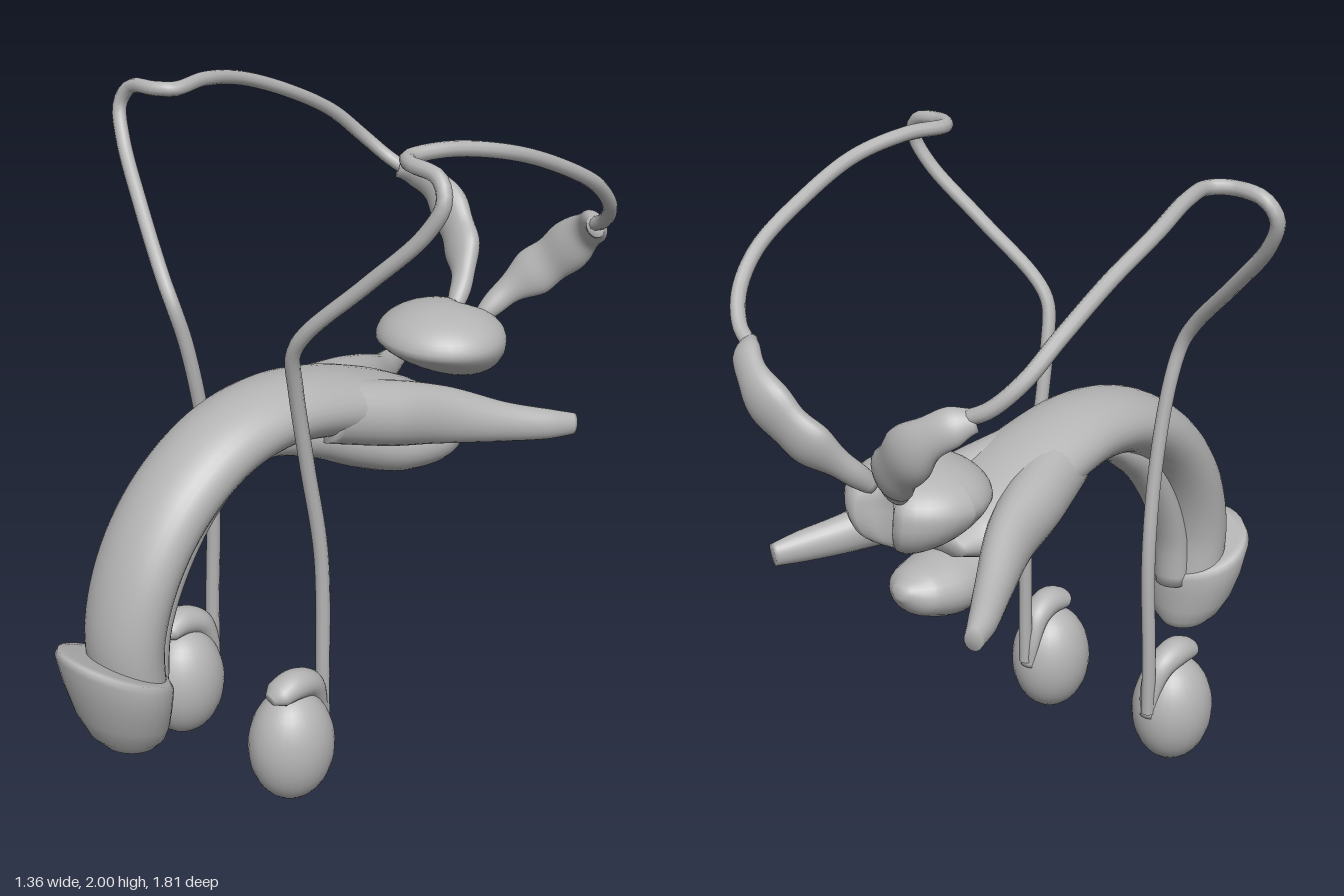
import * as THREE from 'three';

const V = (x, y, z) => new THREE.Vector3(x, y, z);

// Closed smooth skin over rings given as { c, u, v } (centre and two half axes, u x v points along the body)
function skin(rings, n) {
  const pos = [], idx = [], last = rings.length - 1;
  for (const { c, u, v } of rings) {
    for (let j = 0; j < n; j++) {
      const a = (j / n) * Math.PI * 2;
      const p = c.clone().addScaledVector(u, Math.cos(a)).addScaledVector(v, Math.sin(a));
      pos.push(p.x, p.y, p.z);
    }
  }
  const start = pos.length / 3;
  for (const i of [0, last]) pos.push(...rings[i].c.toArray());
  for (let j = 0; j < n; j++) {
    const k = (j + 1) % n;
    for (let i = 0; i < last; i++) {
      const a = i * n + j, b = i * n + k;
      idx.push(a, b, a + n, b, b + n, a + n);
    }
    idx.push(start, k, j, start + 1, last * n + j, last * n + k);
  }
  const g = new THREE.BufferGeometry();
  g.setAttribute('position', new THREE.Float32BufferAttribute(pos, 3));
  g.setIndex(idx);
  g.computeVertexNormals();
  return g;
}

// Body swept along stations [x, y, z, half width, half height]; side is the width direction
function sweep(stations, side, { steps = 40, n = 24, lump = 0 } = {}) {
  const path = new THREE.CatmullRomCurve3(stations.map(s => V(s[0], s[1], s[2])));
  const size = new THREE.CatmullRomCurve3(stations.map(s => V(s[3], s[4], 0)));
  const rings = [];
  for (let i = 0; i <= steps; i++) {
    const t = i / steps;
    const dir = path.getTangent(t);
    const u = side.clone().addScaledVector(dir, -side.dot(dir)).normalize();
    const v = dir.clone().cross(u);
    const s = size.getPoint(t), k = 1 + lump * Math.sin(t * 24);
    rings.push({ c: path.getPoint(t), u: u.multiplyScalar(s.x * k), v: v.multiplyScalar(s.y * k) });
  }
  return skin(rings, n);
}

export function createModel() {
  const model = new THREE.Group();
  const grey = new THREE.MeshStandardMaterial({ color: 0xb4b4b4 });
  grey.name = 'plain grey';
  const add = (name, geometry) => {
    const mesh = new THREE.Mesh(geometry, grey);
    mesh.name = name;
    model.add(mesh);
    return mesh;
  };
  const X = V(1, 0, 0);

  // Curved central shaft
  add('shaft', sweep([
    [0, 0.40, 0.70, 0.125, 0.09], [0, 0.60, 0.715, 0.135, 0.1], [0, 0.80, 0.655, 0.145, 0.1],
    [0, 0.97, 0.53, 0.148, 0.1], [0, 1.09, 0.35, 0.15, 0.1], [0, 1.13, 0.15, 0.153, 0.1],
    [0, 1.105, -0.05, 0.165, 0.1], [0, 1.05, -0.24, 0.18, 0.095], [0, 1.0, -0.40, 0.16, 0.075],
    [0, 0.98, -0.48, 0.08, 0.03],
  ], X, { steps: 56, n: 32 }));

  // Lower tube ending in a rounded bulb
  add('lowerTubeAndBulb', sweep([
    [0, 0.42, 0.63, 0.06, 0.05], [0, 0.6, 0.61, 0.06, 0.05], [0, 0.81, 0.51, 0.06, 0.05],
    [0, 0.955, 0.38, 0.06, 0.05], [0, 1.04, 0.2, 0.06, 0.05], [0, 1.0, 0, 0.065, 0.06],
    [0, 0.92, -0.2, 0.085, 0.075], [0, 0.875, -0.36, 0.115, 0.09], [0, 0.867, -0.48, 0.125, 0.092],
    [0, 0.88, -0.59, 0.095, 0.068], [0, 0.9, -0.65, 0.025, 0.02],
  ], X, { steps: 56 }));

  // Flared tip: rows are front z, front y, back z, back y, half width
  add('flaredTip', skin([
    [0.88, 0.585, 0.63, 0.46, 0.145], [0.905, 0.592, 0.61, 0.455, 0.172], [0.912, 0.57, 0.602, 0.435, 0.186],
    [0.893, 0.48, 0.605, 0.38, 0.173], [0.865, 0.38, 0.607, 0.315, 0.147], [0.83, 0.305, 0.613, 0.27, 0.115],
    [0.79, 0.26, 0.628, 0.243, 0.08], [0.745, 0.23, 0.655, 0.228, 0.04],
  ].map(([fz, fy, bz, by, w]) => ({
    c: V(0, (fy + by) / 2, (fz + bz) / 2),
    u: V(w, 0, 0),
    v: V(0, (fy - by) / 2, (fz - bz) / 2),
  })), 32));

  // Rounded gland, tapered below and notched at the back
  const gland = new THREE.SphereGeometry(1, 36, 24);
  const p = gland.attributes.position;
  for (let i = 0; i < p.count; i++) {
    const x = p.getX(i), y = p.getY(i), z = p.getZ(i);
    const taper = y < 0 ? 1 + 0.12 * y : 1;
    const notch = z < 0 ? 0.1 * z * z * Math.exp(-x * x * 18) : 0;
    p.setXYZ(i, x * 0.21 * taper, 1.17 + y * (y > 0 ? 0.11 : 0.13 - 0.03 * z),
      -0.56 + z * 0.197 * taper + 0.05 * Math.min(y, 0) + notch);
  }
  gland.computeVertexNormals();
  add('gland', gland);

  // Paired parts
  for (const [s, label] of [[1, 'left'], [-1, 'right']]) {
    const flip = rows => rows.map(([x, ...rest]) => [s * x, ...rest]);

    add(label + 'RearRoot', sweep(flip([
      [0.06, 1.095, -0.02, 0.09, 0.095], [0.115, 1.055, -0.2, 0.09, 0.1], [0.175, 1.015, -0.38, 0.07, 0.09],
      [0.27, 0.968, -0.56, 0.052, 0.062], [0.345, 0.945, -0.69, 0.04, 0.047], [0.38, 0.935, -0.765, 0.026, 0.034],
    ]), X));

    add(label + 'Vesicle', sweep(flip([
      [0.055, 1.22, -0.68, 0.025, 0.025], [0.09, 1.29, -0.75, 0.045, 0.035], [0.15, 1.36, -0.81, 0.072, 0.042],
      [0.22, 1.43, -0.845, 0.078, 0.045], [0.3, 1.51, -0.855, 0.065, 0.04], [0.37, 1.56, -0.82, 0.05, 0.032],
      [0.41, 1.575, -0.775, 0.034, 0.025],
    ]), V(s, -1, 0), { lump: 0.07 }));

    // Long looping duct
    const duct = new THREE.CatmullRomCurve3(flip([
      [0.25, 0.22, 0.178], [0.25, 0.4, 0.178], [0.24, 0.76, 0.177], [0.228, 1.05, 0.22], [0.235, 1.3, 0.27],
      [0.255, 1.42, 0.298], [0.3, 1.49, 0.295], [0.47, 1.66, 0.235], [0.62, 1.82, 0.175], [0.66, 1.91, 0.15],
      [0.625, 1.965, 0.135], [0.52, 1.978, 0.13], [0.475, 1.978, 0.09], [0.5, 1.98, -0.04], [0.54, 1.945, -0.22],
      [0.545, 1.87, -0.42], [0.54, 1.77, -0.61], [0.51, 1.68, -0.71], [0.45, 1.61, -0.767], [0.385, 1.575, -0.79],
    ]).map(a => V(...a)));
    add(label + 'Duct', new THREE.TubeGeometry(duct, 140, 0.022, 10));

    // Hanging oval body with its cap
    const oval = add(label + 'Oval', new THREE.SphereGeometry(1, 28, 20));
    oval.scale.set(0.124, 0.178, 0.134);
    oval.position.set(s * 0.25, 0.184, 0.305);

    add(label + 'OvalCap', sweep(flip([
      [0.25, 0.365, 0.39, 0.022, 0.015], [0.255, 0.375, 0.36, 0.048, 0.035], [0.258, 0.385, 0.3, 0.05, 0.045],
      [0.252, 0.36, 0.235, 0.045, 0.04], [0.245, 0.29, 0.197, 0.035, 0.026], [0.245, 0.2, 0.182, 0.025, 0.016],
    ]), X));
  }
  return model;
}
